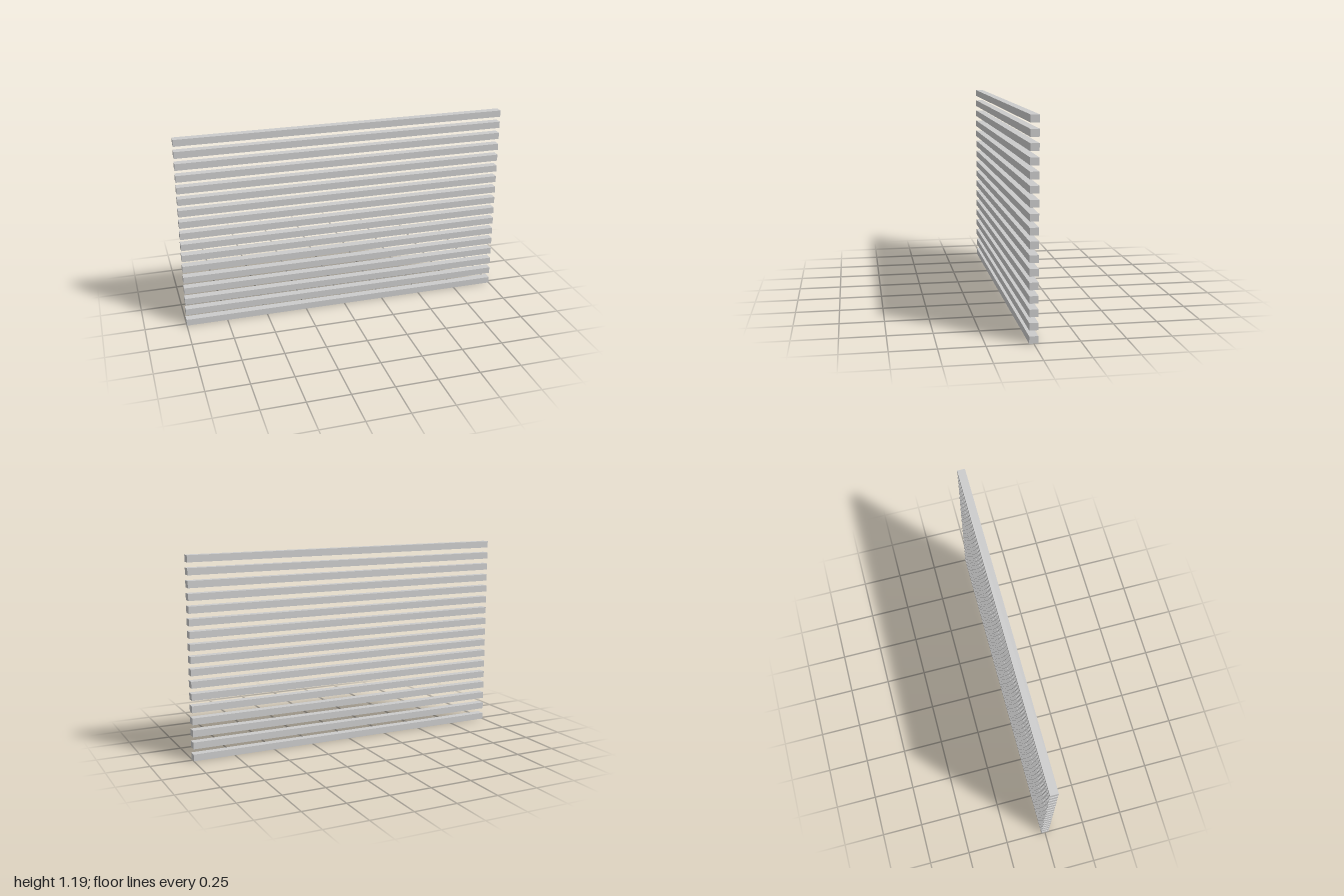
import * as THREE from 'three';

const SLATS = 17;
const LENGTH = 2, HEIGHT = 0.04, DEPTH = 0.048;
const PITCH = 0.0718;

export function createModel() {
  const model = new THREE.Group();
  model.name = 'slattedScreen';
  const material = new THREE.MeshStandardMaterial({ color: 0xcccccc });
  const geometry = new THREE.BoxGeometry(LENGTH, HEIGHT, DEPTH);

  // Evenly spaced horizontal slats, stacked from the ground up
  for (let i = 0; i < SLATS; i++) {
    const slat = new THREE.Mesh(geometry, material);
    slat.name = `slat${i + 1}`;
    slat.position.y = HEIGHT / 2 + i * PITCH;
    model.add(slat);
  }
  return model;
}
